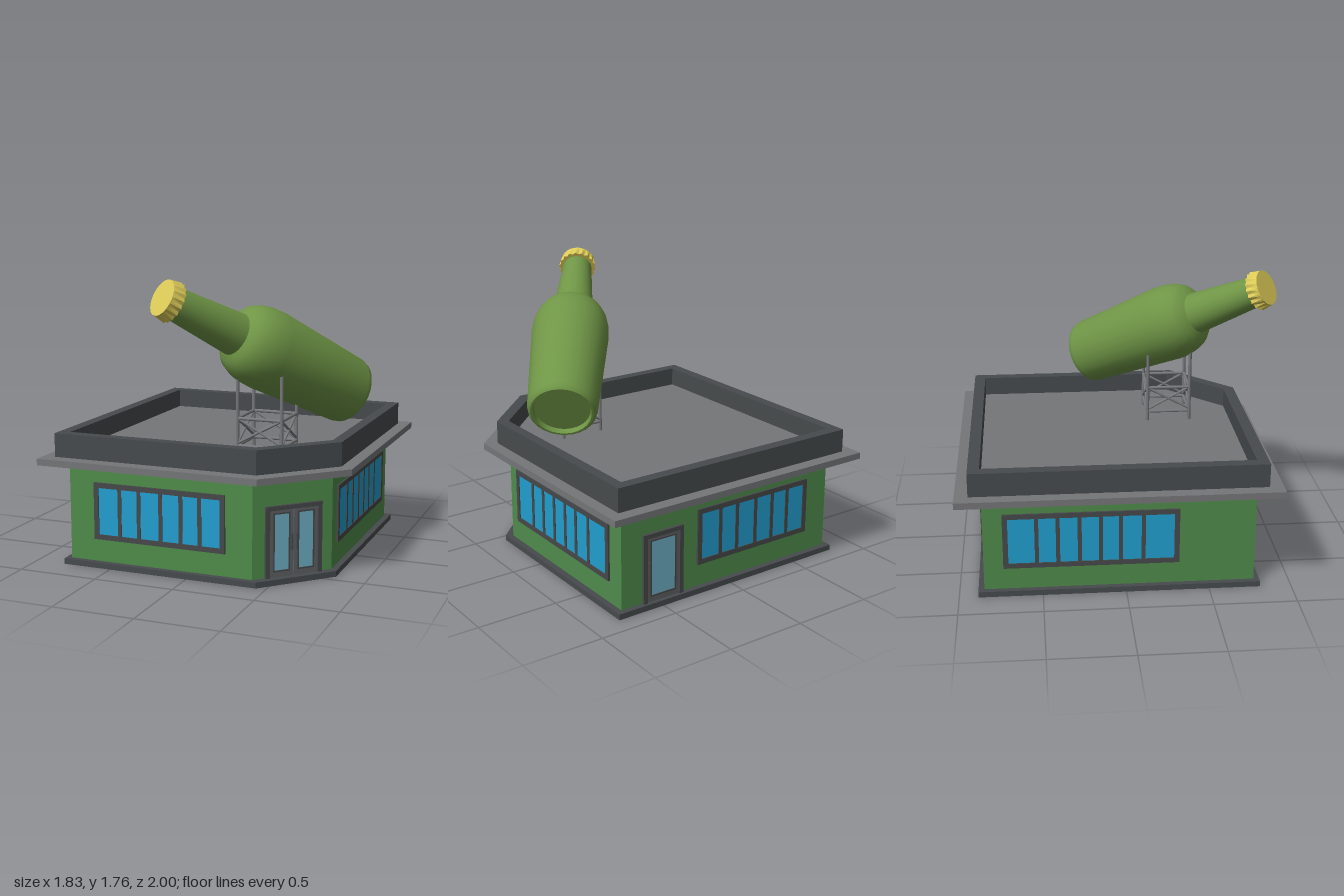
import * as THREE from 'three';
import { toCreasedNormals } from 'three/addons/utils/BufferGeometryUtils.js';

const mat = (name, color) => {
  const m = new THREE.MeshStandardMaterial({ color });
  m.name = name;
  return m;
};

export function createModel() {
  const wallGreen = mat('wall green', 0x4f8c4b);
  const darkGrey = mat('dark grey', 0x474b4d);
  const roofGrey = mat('roof grey', 0x757678);
  const frameGrey = mat('frame grey', 0x474849);
  const leafGrey = mat('door grey', 0x5f6062);
  const windowBlue = mat('window blue', 0x229fd0);
  const doorGlass = mat('door glass', 0x6fb0c6);
  const steel = mat('steel', 0x77797c);
  const bottleGreen = mat('bottle green', 0x6f9546);
  const capGold = mat('cap gold', 0xddcb58);

  const model = new THREE.Group();
  model.name = 'bottleShop';

  const add = (parent, name, geo, material, x = 0, y = 0, z = 0) => {
    const mesh = new THREE.Mesh(geo, material);
    mesh.name = name;
    mesh.position.set(x, y, z);
    parent.add(mesh);
    return mesh;
  };
  const box = (parent, name, material, w, h, d, x, y, z) =>
    add(parent, name, new THREE.BoxGeometry(w, h, d), material, x, y, z);

  // Footprint with the front left corner cut where x + z = cut
  const footprint = (x0, x1, z0, z1, cut) =>
    [[x0, z1], [cut - z1, z1], [x1, cut - x1], [x1, z0], [x0, z0]]
      .map(([x, z]) => new THREE.Vector2(x, -z));
  const slab = (name, material, outline, y0, y1, hole) => {
    const shape = new THREE.Shape(outline);
    if (hole) shape.holes.push(new THREE.Path(hole));
    const geo = new THREE.ExtrudeGeometry(shape, { depth: y1 - y0, bevelEnabled: false });
    geo.rotateX(-Math.PI / 2);
    return add(model, name, geo, material, 0, y0, 0);
  };

  // Building shell
  const parapetInner = footprint(-0.77, 0.77, -0.85, 0.765, 1.185);
  slab('base', darkGrey, footprint(-0.81, 0.81, -0.885, 0.81, 1.25), 0, 0.035);
  slab('walls', wallGreen, footprint(-0.775, 0.772, -0.85, 0.775, 1.18), 0.035, 0.635);
  slab('cornice', roofGrey, footprint(-0.917, 0.912, -1, 0.92, 1.405), 0.635, 0.675);
  slab('parapet', darkGrey, footprint(-0.84, 0.836, -0.92, 0.835, 1.285), 0.675, 0.82, parapetInner);
  slab('roof', roofGrey, parapetInner, 0.675, 0.7);

  // Rectangular ring in the local xy plane, standing out along +z
  const ring = (parent, name, material, w, h, side, depth, x, y, z) => {
    const rect = (a, b) => [[-a, -b], [a, -b], [a, b], [-a, b]].map((p) => new THREE.Vector2(...p));
    const shape = new THREE.Shape(rect(w / 2, h / 2));
    shape.holes.push(new THREE.Path(rect(w / 2 - side, h / 2 - side)));
    const geo = new THREE.ExtrudeGeometry(shape, { depth, bevelEnabled: false });
    return add(parent, name, geo, material, x, y, z);
  };
  const wallGroup = (name, x, z, turn) => {
    const g = new THREE.Group();
    g.name = name;
    g.position.set(x, 0, z);
    g.rotation.y = turn;
    model.add(g);
    return g;
  };

  // Long windows, one on each wall
  const windowBand = (name, x, z, turn, w, bars) => {
    const g = wallGroup(name, x, z, turn);
    ring(g, 'windowFrame', frameGrey, w, 0.352, 0.031, 0.012, 0, 0.35, 0);
    box(g, 'windowGlass', windowBlue, w - 0.06, 0.29, 0.006, 0, 0.35, 0.003);
    for (const b of bars) box(g, 'windowBar', frameGrey, 0.024, 0.29, 0.01, b, 0.35, 0.005);
  };
  const shortBars = [-0.254, -0.128, 0.014, 0.144, 0.264];
  const longBars = [-0.325, -0.199, -0.07, 0.056, 0.175, 0.31];
  windowBand('frontWindow', -0.186, 0.775, 0, 0.848, shortBars);
  windowBand('backWindow', -0.186, -0.85, Math.PI, 0.848, shortBars);
  windowBand('leftWindow', 0.772, -0.207, Math.PI / 2, 1.051, longBars);
  windowBand('rightWindow', -0.775, -0.207, -Math.PI / 2, 1.051, longBars);

  // Doors: an outer frame and one or two glazed leaves
  const door = (name, x, z, turn, w, leaves) => {
    const g = wallGroup(name, x, z, turn);
    for (const s of [-1, 1]) box(g, 'doorPost', frameGrey, 0.026, 0.43, 0.022, s * (w / 2 - 0.013), 0.25, 0.008);
    box(g, 'doorLintel', frameGrey, w, 0.026, 0.022, 0, 0.452, 0.008);
    for (const { cx, lw, side } of leaves) {
      box(g, 'doorLeaf', leafGrey, lw, 0.404, 0.01, cx, 0.237, 0.004);
      ring(g, 'glassTrim', frameGrey, lw - 0.045, 0.355, 0.009, 0.005, cx, 0.245, 0.009);
      box(g, 'doorPane', doorGlass, lw - 0.063, 0.337, 0.004, cx, 0.245, 0.009);
      const hx = cx + side * (lw / 2 - 0.014);
      box(g, 'doorHandle', frameGrey, 0.01, 0.1, 0.008, hx, 0.245, 0.026);
      for (const dy of [-0.035, 0.035]) box(g, 'handleMount', frameGrey, 0.008, 0.01, 0.02, hx, 0.245 + dy, 0.016);
    }
  };
  door('cornerDoor', 0.59, 0.59, Math.PI / 4, 0.365, [
    { cx: -0.079, lw: 0.154, side: 1 },
    { cx: 0.079, lw: 0.154, side: -1 },
  ]);
  door('backDoor', 0.488, -0.85, Math.PI, 0.28, [{ cx: 0, lw: 0.228, side: -1 }]);

  // Steel stand
  const beam = (name, a, b, r) => {
    const p = new THREE.Vector3(...a), q = new THREE.Vector3(...b);
    const mesh = add(model, name, new THREE.CylinderGeometry(r, r, p.distanceTo(q), 8), steel);
    mesh.position.copy(p).add(q).multiplyScalar(0.5);
    mesh.quaternion.setFromUnitVectors(new THREE.Vector3(0, 1, 0), q.sub(p).normalize());
  };
  const posts = [[0.207, 0.5, 1.16], [0.483, 0.5, 1.19], [0.483, 0.225, 1.06], [0.207, 0.225, 1.16]];
  posts.forEach(([x, z, top], i) => {
    const [x2, z2] = posts[(i + 1) % 4];
    beam('standPost', [x, 0.69, z], [x, top, z], 0.011);
    for (const y of [0.76, 0.925]) beam('standRail', [x, y, z], [x2, y, z2], 0.01);
    beam('standBrace', [x, 0.925, z], [x2, 0.775, z2], 0.008);
    beam('standBrace', [x, 0.775, z], [x2, 0.925, z2], 0.008);
  });

  // Tilted bottle, built upright and laid along its axis
  const bottle = new THREE.Group();
  bottle.name = 'bottle';
  const foot = new THREE.Vector3(0.71, 1.015, -0.14);
  const axis = new THREE.Vector3(-0.08, 1.665, 0.92).sub(foot);
  const length = axis.length();
  bottle.position.copy(foot);
  bottle.quaternion.setFromUnitVectors(new THREE.Vector3(0, 1, 0), axis.normalize());
  model.add(bottle);

  const profile = [
    [0, 0.03], [0.168, 0.03], [0.177, 0], [0.19, 0], [0.204, 0.014], [0.212, 0.045],
    [0.245, 0.7], [0.241, 0.77], [0.228, 0.83], [0.204, 0.885], [0.17, 0.92], [0.13, 0.94],
    [0.094, 1.41],
  ].map((p) => new THREE.Vector2(...p));
  add(bottle, 'bottleGlass', toCreasedNormals(new THREE.LatheGeometry(profile, 28), 0.62), bottleGreen);

  // Crown cap with a crimped, flared skirt
  const teeth = 18;
  const capGeo = new THREE.CylinderGeometry(0.11, 0.118, 0.075, teeth * 2).toNonIndexed();
  const pos = capGeo.attributes.position;
  for (let i = 0; i < pos.count; i++) {
    const x = pos.getX(i), z = pos.getZ(i);
    if (pos.getY(i) > 0 || Math.hypot(x, z) < 0.01) continue;
    const step = Math.round((Math.atan2(x, z) / Math.PI) * teeth);
    const k = step % 2 === 0 ? 1.05 : 0.95;
    pos.setX(i, x * k);
    pos.setZ(i, z * k);
  }
  capGeo.computeVertexNormals();
  add(bottle, 'bottleCap', capGeo, capGold, 0, length - 0.0375, 0);

  return model;
}
